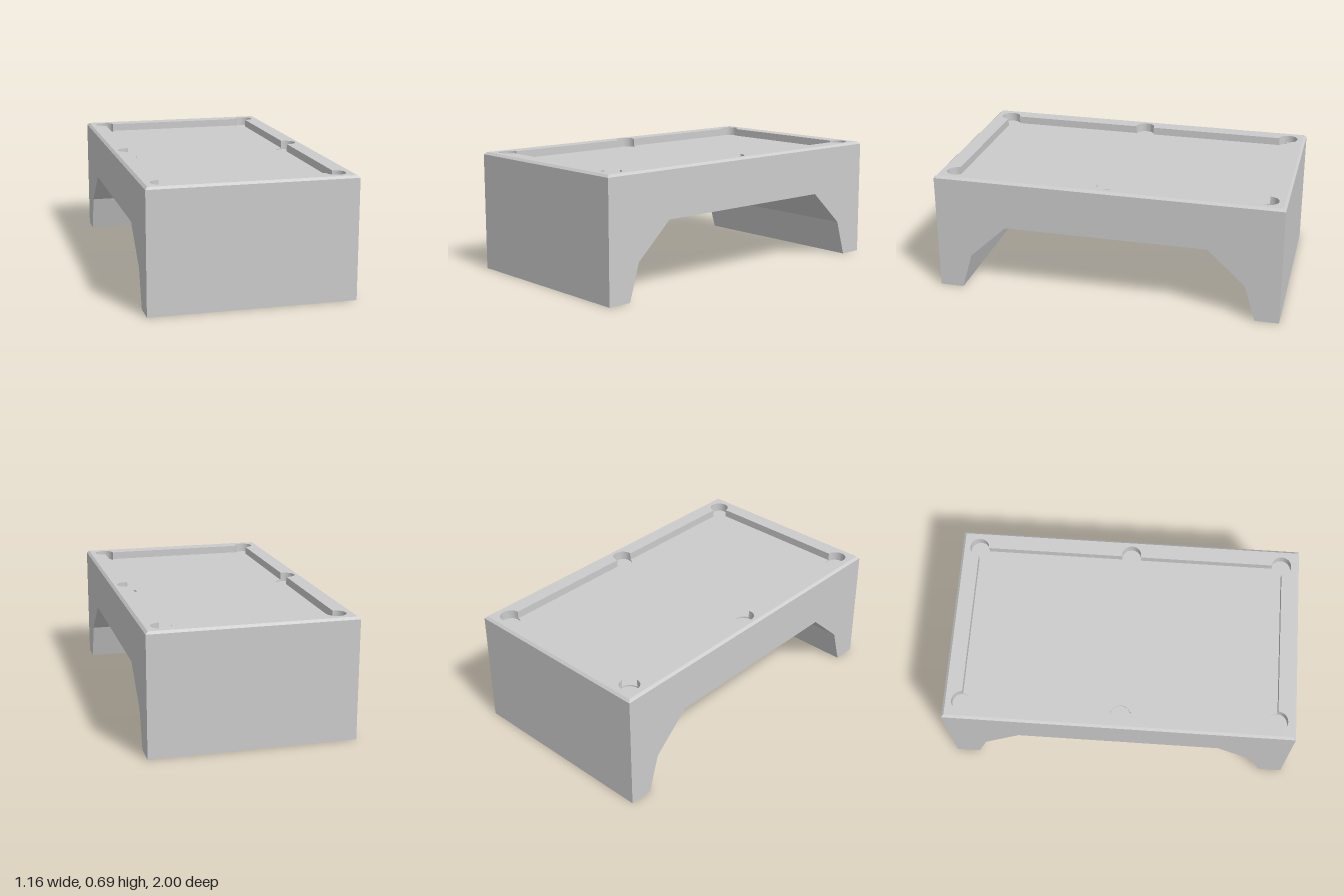
import * as THREE from 'three';
import { toCreasedNormals } from 'three/addons/utils/BufferGeometryUtils.js';

const HX = 0.58, HZ = 1;            // outer half size
const IX = 0.478, IZ = 0.897;       // inner half size of the rails
const R = 0.056, MID_X = 0.489, MID_S = -0.008;
const FLOOR = 0.64, BED = 0.648, EDGE = 0.68, TOP = 0.693, CHAMFER = 0.014;

const grey = new THREE.MeshStandardMaterial({ color: 0xcccccc });

function rectangle(hx, hz) {
  return new THREE.Shape([[-hx, -hz], [hx, -hz], [hx, hz], [-hx, hz]].map(p => new THREE.Vector2(...p)));
}

// Extrude a plan shape upward from y0 to y1
function slab(shape, y0, y1) {
  const g = new THREE.ExtrudeGeometry(shape, { depth: y1 - y0, bevelEnabled: false, curveSegments: 32 });
  return g.rotateX(-Math.PI / 2).translate(0, y0, 0);
}

function mesh(name, geometry) {
  const m = new THREE.Mesh(toCreasedNormals(geometry, 0.5), grey);
  m.name = name;
  return m;
}

// Rail ring: the opening follows the rails and bulges round each pocket
function railShape() {
  const shape = rectangle(HX, HZ);
  const hole = new THREE.Path();
  const q = Math.PI / 2;
  const a = Math.acos((IX - MID_X) / R);
  const pockets = [
    [MID_X, MID_S, -a, a],
    [IX, IZ, -q, 2 * q],
    [-IX, IZ, 0, 3 * q],
    [-MID_X, MID_S, 2 * q - a, 2 * q + a],
    [-IX, -IZ, q, 4 * q],
    [IX, -IZ, 2 * q, 5 * q],
  ];
  for (const [x, s, start, end] of pockets) hole.absarc(x, s, R, start, end, false);
  hole.closePath();
  shape.holes.push(hole);
  return shape;
}

// Bed plate with six round pocket holes
function bedShape() {
  const shape = rectangle(HX, HZ);
  for (const side of [-1, 1]) {
    for (const [x, s] of [[IX, IZ], [IX, -IZ], [MID_X, MID_S]]) {
      shape.holes.push(new THREE.Path().absarc(side * x, s, R, 0, Math.PI * 2, false));
    }
  }
  return shape;
}

export function createModel() {
  const table = new THREE.Group();
  table.name = 'poolTable';

  // Body and end legs: one arched side profile run across the width
  const half = [[HZ, FLOOR], [HZ, 0], [0.863, 0], [0.8, 0.21], [0.585, 0.41]];
  const profile = [...half, ...half.map(([z, y]) => [-z, y]).reverse()];
  const body = new THREE.ExtrudeGeometry(
    new THREE.Shape(profile.map(p => new THREE.Vector2(...p))),
    { depth: 2 * HX, bevelEnabled: false });
  body.translate(0, 0, -HX).rotateY(Math.PI / 2);
  table.add(mesh('bodyAndLegs', body));

  table.add(mesh('bed', slab(bedShape(), FLOOR, BED)));
  table.add(mesh('rails', slab(railShape(), BED, EDGE)));

  // Rail cap: pull its outer top edge inward for the chamfer
  const cap = slab(railShape(), EDGE, TOP);
  const p = cap.attributes.position;
  for (let i = 0; i < p.count; i++) {
    if (p.getY(i) < TOP - 0.001) continue;
    p.setX(i, THREE.MathUtils.clamp(p.getX(i), CHAMFER - HX, HX - CHAMFER));
    p.setZ(i, THREE.MathUtils.clamp(p.getZ(i), CHAMFER - HZ, HZ - CHAMFER));
  }
  table.add(mesh('railCap', cap));
  return table;
}
